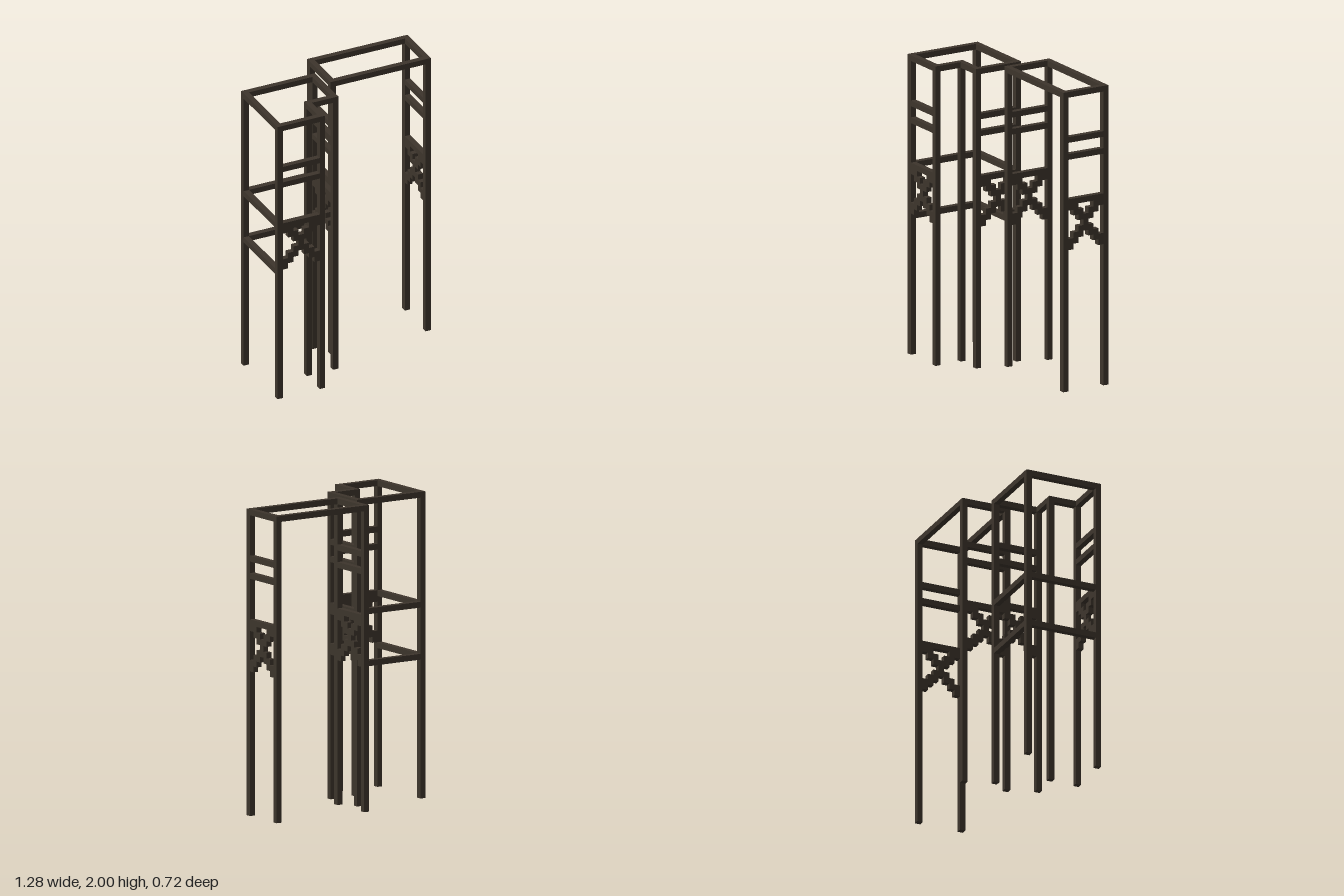
import * as THREE from 'three';

// Everything sits on a grid of square cells: 34 wide, 53 high, 19 deep.
const U = 2 / 53;

export function createModel() {
  const model = new THREE.Group();
  const wood = new THREE.MeshStandardMaterial({ color: 0x3d352c });
  wood.name = 'darkWood';

  // Box filling the cells from a to b inclusive, each [x, y, z].
  const block = (parent, name, a, b) => {
    const size = a.map((v, i) => (b[i] - v + 1) * U);
    const mesh = new THREE.Mesh(new THREE.BoxGeometry(...size), wood);
    const mid = a.map((v, i) => (v + b[i] + 1) / 2);
    mesh.position.set((mid[0] - 17) * U, mid[1] * U, (mid[2] - 9.5) * U);
    mesh.name = name;
    parent.add(mesh);
  };

  // Level bar between two posts [x, z], stopping at their faces.
  const bar = (parent, name, p, q, y) => {
    const axis = p[0] !== q[0] ? 0 : 1;
    const [lo, hi] = p[axis] < q[axis] ? [[...p], [...q]] : [[...q], [...p]];
    lo[axis] += 1;
    hi[axis] -= 1;
    block(parent, name, [lo[0], y, lo[1]], [hi[0], y, hi[1]]);
  };

  // Posts with a ring of bars along the top.
  const frame = (name, corners) => {
    const group = new THREE.Group();
    group.name = name;
    corners.forEach((p, i) => {
      block(group, 'post', [p[0], 0, p[1]], [p[0], 52, p[1]]);
      bar(group, 'topBar', p, corners[(i + 1) % corners.length], 52);
    });
    model.add(group);
    return group;
  };

  // Rows of the stepped cross: row, then runs of cells counted from one post.
  const crossRows = [
    [32, [1, 2], [6, 7]], [31, [2, 3], [5, 6]], [30, [3, 5]], [29, [4, 4]],
    [28, [3, 5]], [27, [2, 3], [5, 6]], [26, [1, 2], [6, 7]], [25, [1, 1], [7, 7]],
  ];

  // Panel eight cells wide: two upper rails, a middle rail and a stepped cross.
  const panel = (parent, name, p, q) => {
    const group = new THREE.Group();
    group.name = name;
    for (const y of [44, 41, 33]) bar(group, 'rail', p, q, y);
    const alongX = p[0] !== q[0];
    for (const [y, ...runs] of crossRows) {
      for (const [s, e] of runs) {
        const at = (n) => (alongX ? [p[0] + n, y, p[1]] : [p[0], y, p[1] + n]);
        block(group, 'crossStep', at(s), at(e));
      }
    }
    parent.add(group);
  };

  // L-shaped frame
  const corner = frame('cornerFrame', [[0, 5], [13, 5], [13, 13], [8, 13], [8, 18], [0, 18]]);
  for (const y of [24, 33]) {
    bar(corner, 'backRail', [0, 5], [13, 5], y);
    bar(corner, 'sideRail', [0, 5], [0, 18], y);
  }
  panel(corner, 'frontPanel', [0, 18], [8, 18]);
  panel(corner, 'innerPanel', [13, 5], [13, 13]);

  // Rectangular frame, open at front and back
  const gate = frame('gateFrame', [[15, 0], [33, 0], [33, 8], [15, 8]]);
  panel(gate, 'rightPanel', [15, 0], [15, 8]);
  panel(gate, 'leftPanel', [33, 0], [33, 8]);

  return model;
}
